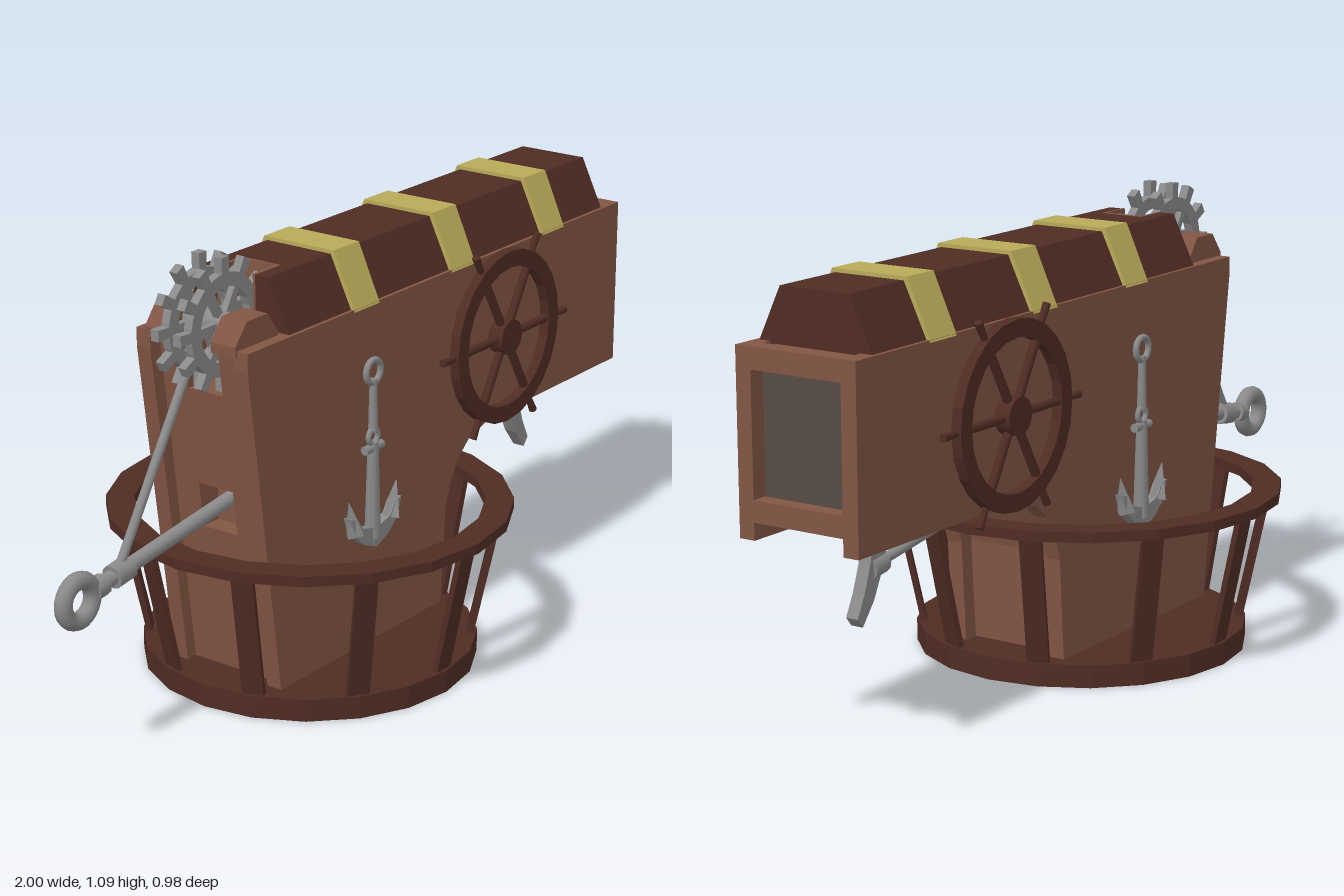
import * as THREE from 'three';

const mat = (name, color, opts = {}) => new THREE.MeshStandardMaterial({ name, color, ...opts });

export function createModel() {
  const model = new THREE.Group();
  const wood = mat('warm wood', 0x825544);
  const dark = mat('dark wood', 0x4f2c23);
  const gold = mat('brass', 0xb8aa58);
  const steel = mat('steel', 0x8a8a8a);
  const glass = mat('smoky panel', 0x564c45);

  const V = (x, y, z = 0) => new THREE.Vector3(x, y, z);
  const add = (name, geo, material, parent = model) => {
    const m = new THREE.Mesh(geo, material);
    m.name = name;
    parent.add(m);
    return m;
  };
  const group = (name, parent = model) => {
    const g = new THREE.Group();
    g.name = name;
    parent.add(g);
    return g;
  };
  const flat = (geo) => {
    const g = geo.index ? geo.toNonIndexed() : geo;
    g.computeVertexNormals();
    return g;
  };
  const shape = (pts) => new THREE.Shape(pts.map(([x, y]) => new THREE.Vector2(x, y)));
  // side profile extruded between two z values
  const slab = (s, z0, z1) =>
    new THREE.ExtrudeGeometry(s, { depth: z1 - z0, bevelEnabled: false, curveSegments: 12 }).translate(0, 0, z0);
  // (z, y) profile extruded between two x values
  const beam = (pts, x0, x1) => slab(shape(pts.map(([z, y]) => [-z, y])), x0, x1).rotateY(Math.PI / 2);
  const box = (x0, x1, y0, y1, z0, z1) =>
    new THREE.BoxGeometry(x1 - x0, y1 - y0, z1 - z0).translate((x0 + x1) / 2, (y0 + y1) / 2, (z0 + z1) / 2);
  const ring = (inner, outer, y0, y1, sides) =>
    flat(new THREE.LatheGeometry(
      [[inner, y0], [outer, y0], [outer, y1], [inner, y1], [inner, y0]].map(([x, y]) => new THREE.Vector2(x, y)), sides));
  // rod between two points
  const rod = (a, b, ra, rb = ra, sides = 12) => {
    const d = b.clone().sub(a);
    const g = new THREE.CylinderGeometry(rb, ra, d.length(), sides);
    g.applyQuaternion(new THREE.Quaternion().setFromUnitVectors(V(0, 1), d.normalize()));
    const c = a.clone().add(b).multiplyScalar(0.5);
    return g.translate(c.x, c.y, c.z);
  };

  // body: two side plates around a slightly inset core
  const body = group('body');
  const plate = shape([[-0.535, 0.905], [-0.535, 0.86], [-0.425, 0.05], [0.215, 0.05], [0.232, 0.3], [0.25, 0.355],
    [0.285, 0.415], [0.33, 0.453], [0.42, 0.478], [0.995, 0.48], [0.995, 0.905]]);
  const core = shape([[-0.505, 0.895], [-0.395, 0.05], [0.175, 0.05], [0.192, 0.3], [0.21, 0.365], [0.25, 0.44],
    [0.305, 0.49], [0.4, 0.52], [0.95, 0.52], [0.95, 0.895]]);
  // middle layer is notched for the gears and the rod
  const middle = shape([[-0.29, 0.895], [-0.29, 0.77], [-0.489, 0.77], [-0.457, 0.53], [-0.39, 0.53], [-0.39, 0.42],
    [-0.443, 0.42], [-0.395, 0.05], [0.175, 0.05], [0.192, 0.3], [0.21, 0.365], [0.236, 0.415], [0.17, 0.415],
    [0.17, 0.475], [0.288, 0.475], [0.305, 0.49], [0.4, 0.52], [0.95, 0.52], [0.95, 0.895]]);
  add('middleCore', slab(middle, -0.05, 0.05), wood, body);
  for (const s of [-1, 1]) {
    add('sidePlate', slab(plate, s > 0 ? 0.12 : -0.16, s > 0 ? 0.16 : -0.12), wood, body);
    add('sideCore', slab(core, s > 0 ? 0.05 : -0.12, s > 0 ? 0.12 : -0.05), wood, body);
    const z = s > 0 ? 0.06 : -0.13;
    add('gearBearing', slab(shape([[-0.54, 0.89], [-0.39, 0.89], [-0.39, 0.915], [-0.425, 0.965], [-0.5, 0.965],
      [-0.54, 0.915]]), z, z + 0.07), wood, body);
  }
  add('muzzleTopBar', box(0.95, 0.995, 0.855, 0.905, -0.12, 0.12), wood, body);
  add('muzzleBottomBar', box(0.95, 0.995, 0.52, 0.57, -0.12, 0.12), wood, body);
  add('muzzlePanel', box(0.948, 0.956, 0.57, 0.855, -0.118, 0.118), glass, body);

  // lid with a slot for the gears, and three brass bands
  const lid = group('lid');
  const lidProfile = (e) => [[-0.153 - e, 0.9], [0.153 + e, 0.9], [0.092 + e, 1.028 + e], [-0.092 - e, 1.028 + e]];
  add('lidMain', beam(lidProfile(0), -0.29, 0.925), dark, lid);
  for (const s of [-1, 1]) {
    const pts = [[0.055, 0.9], [0.153, 0.9], [0.092, 1.028], [0.055, 1.028]].map(([z, y]) => [s * z, y]);
    add('lidEnd', beam(pts, -0.375, -0.29), dark, lid);
    add('slotLining', box(-0.375, -0.285, 0.9, 1.029, s * 0.052 - 0.004, s * 0.052 + 0.004), wood, lid);
  }
  add('slotBack', box(-0.293, -0.285, 0.9, 1.029, -0.055, 0.055), wood, lid);
  for (const x of [-0.0975, 0.2925, 0.686]) add('band', beam(lidProfile(0.009), x - 0.048, x + 0.048), gold, lid);

  // twin gears
  const gears = group('gears');
  gears.position.set(-0.465, 0.932, 0);
  const teeth = [];
  for (let i = 0; i < 12; i++) {
    for (const [da, r] of [[-0.17, 0.12], [-0.1, 0.12], [-0.085, 0.157], [0.085, 0.157], [0.1, 0.12], [0.17, 0.12]]) {
      const a = (i * Math.PI) / 6 + da + Math.PI / 2;
      teeth.push([r * Math.cos(a), r * Math.sin(a)]);
    }
  }
  const gearShape = shape(teeth);
  gearShape.holes.push(new THREE.Path().absarc(0, 0, 0.088, 0, Math.PI * 2, true));
  for (const z of [-0.032, 0.032]) {
    add('gear', slab(gearShape, z - 0.011, z + 0.011), steel, gears);
    for (let i = 0; i < 3; i++) {
      add('gearSpoke', new THREE.BoxGeometry(0.19, 0.018, 0.016).rotateZ((i * Math.PI) / 3).translate(0, 0, z), steel, gears);
    }
  }
  add('axle', rod(V(0, 0, -0.062), V(0, 0, 0.062), 0.03), steel, gears);

  // pull rod with ring, strut and trigger
  const pull = group('pullRod');
  add('pullRing', new THREE.TorusGeometry(0.047, 0.021, 10, 24).translate(-0.932, 0.415, 0), steel, pull);
  add('pullShaft', rod(V(-0.88, 0.424), V(-0.38, 0.492), 0.018), steel, pull);
  add('shaftCollar', rod(V(-0.82, 0.432), V(-0.765, 0.44), 0.028), steel, pull);
  add('ringSocket', rod(V(-0.885, 0.423), V(-0.85, 0.428), 0.026), steel, pull);
  add('strut', rod(V(-0.8, 0.44), V(-0.5, 0.92), 0.011), steel, pull);
  add('triggerRod', rod(V(0.15, 0.47), V(0.73, 0.383), 0.012), steel, pull);
  add('triggerJoint', rod(V(0.705, 0.387), V(0.755, 0.38), 0.027), steel, pull);
  add('trigger', slab(shape([[0.675, 0.53], [0.745, 0.53], [0.75, 0.46], [0.768, 0.39], [0.79, 0.33], [0.815, 0.28],
    [0.797, 0.258], [0.755, 0.31], [0.72, 0.38], [0.695, 0.45]]), -0.016, 0.016), steel, pull);

  // round basket at the foot
  const basket = group('basket');
  basket.position.x = -0.107;
  add('basketFloor', flat(new THREE.CylinderGeometry(0.405, 0.405, 0.055, 20).translate(0, 0.0275, 0)), dark, basket);
  add('basketRim', ring(0.42, 0.488, 0.373, 0.398, 20), dark, basket);
  for (let i = 0; i < 10; i++) {
    const post = group('basketPost', basket);
    post.rotation.y = (i * Math.PI) / 5;
    const m = add('post', new THREE.BoxGeometry(0.053, 0.345, 0.014), dark, post);
    m.position.set(0, 0.215, 0.422);
    m.rotation.x = Math.atan2(0.07, 0.335);
  }

  // steering wheel and anchor on each side
  for (const s of [-1, 1]) {
    const wheel = group('wheel');
    wheel.position.set(0.45, 0.69, s * 0.18);
    add('wheelRim', ring(0.178, 0.22, -0.013, 0.013, 24).rotateX(Math.PI / 2), dark, wheel);
    add('wheelHub', rod(V(0, 0, -0.02), V(0, 0, 0.02), 0.045, 0.045, 16), dark, wheel);
    for (let i = 0; i < 6; i++) {
      const c = Math.cos((i * Math.PI) / 3), n = Math.sin((i * Math.PI) / 3);
      add('wheelSpoke', rod(V(0, 0), V(0.2 * c, 0.2 * n), 0.011, 0.011, 8), dark, wheel);
      add('wheelHandle', rod(V(0.2 * c, 0.2 * n), V(0.268 * c, 0.268 * n), 0.007, 0.01, 8), dark, wheel);
    }

    const anchor = group('anchor');
    anchor.position.set(-0.095, 0, s * 0.178);
    add('anchorRing', new THREE.TorusGeometry(0.028, 0.008, 8, 18).translate(0, 0.748, 0), steel, anchor);
    add('anchorLink', rod(V(0, 0.73), V(0, 0.6), 0.009, 0.012, 8), steel, anchor);
    add('anchorEye', new THREE.TorusGeometry(0.018, 0.007, 8, 16).translate(0, 0.588, 0), steel, anchor);
    add('anchorStock', rod(V(-0.034, 0.56), V(0.034, 0.56), 0.011, 0.011, 8), steel, anchor);
    add('anchorShank', rod(V(0, 0.575), V(0, 0.335), 0.013, 0.02, 8), steel, anchor);
    add('anchorArms', slab(shape([[-0.098, 0.41], [-0.082, 0.362], [-0.045, 0.33], [0, 0.312], [0.045, 0.33],
      [0.082, 0.362], [0.098, 0.41], [0.075, 0.405], [0.055, 0.375], [0, 0.36], [-0.055, 0.375], [-0.075, 0.405]]),
      -0.012, 0.012), steel, anchor);
    for (const k of [-1, 1]) {
      add('anchorFluke', flat(rod(V(k * 0.07, 0.365), V(k * 0.094, 0.45), 0.027, 0.001, 4)), steel, anchor);
    }
  }
  return model;
}
